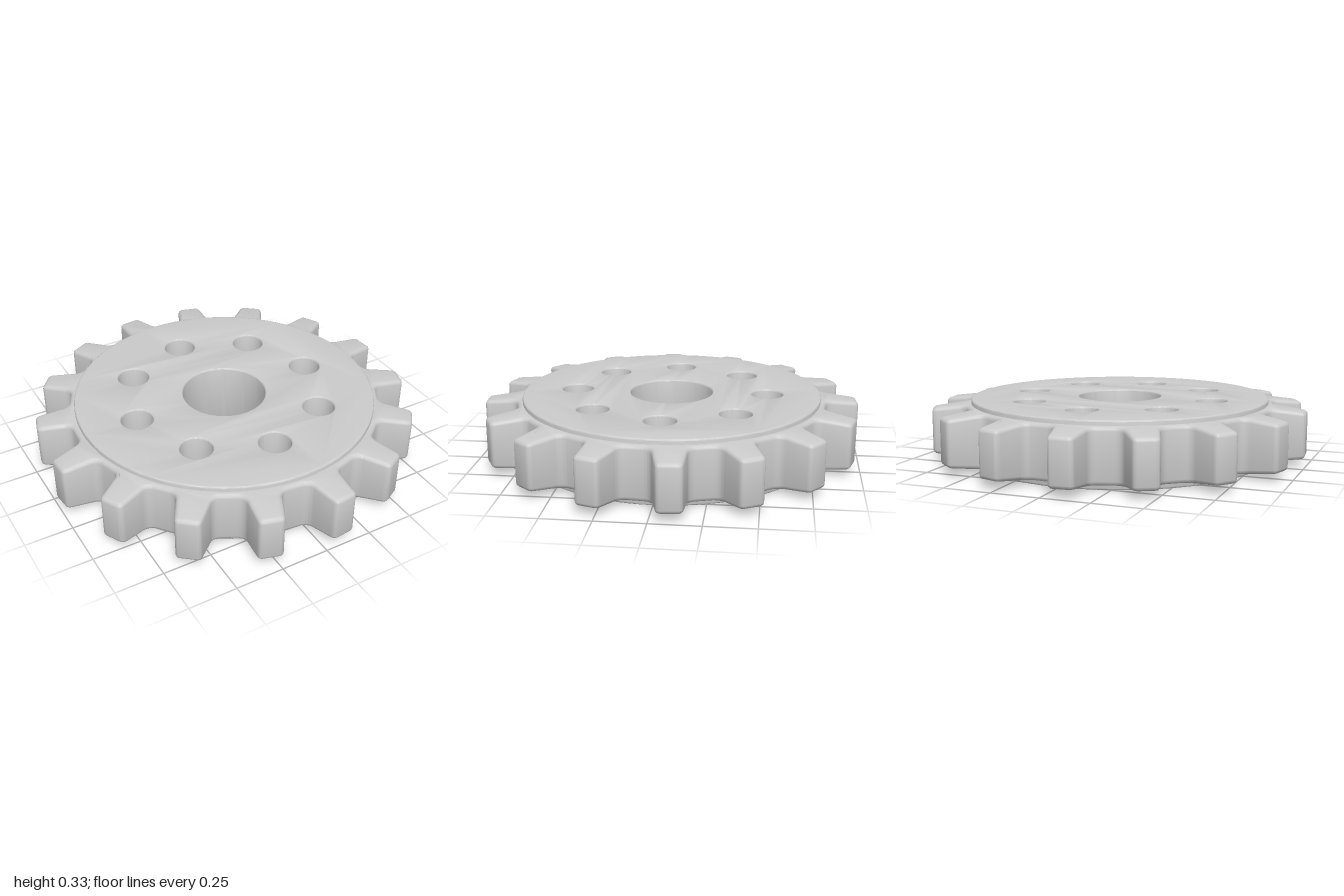
import * as THREE from 'three';
import { toCreasedNormals } from 'three/addons/utils/BufferGeometryUtils.js';

const TEETH = 16, PHASE = 0.1, MID = 0.165;
const material = new THREE.MeshStandardMaterial({ color: 0xcccccc });

function circleHole(x, y, r) {
  return new THREE.Path().absarc(x, y, r, 0, Math.PI * 2, true);
}

// Extrude a flat shape upwards, centred on MID, with rounded edges inside its outline
function slab(shape, height, bevel, curveSegments) {
  const g = new THREE.ExtrudeGeometry(shape, {
    depth: height - 2 * bevel, bevelThickness: bevel, bevelSize: bevel,
    bevelOffset: -bevel, bevelSegments: 3, curveSegments,
  });
  g.translate(0, 0, bevel - height / 2);
  g.rotateX(-Math.PI / 2);
  return g;
}

function addPart(group, name, geometry) {
  geometry.translate(0, MID, 0);
  const mesh = new THREE.Mesh(toCreasedNormals(geometry, 0.6), material);
  mesh.name = name;
  group.add(mesh);
}

// Outline of the toothed ring: tapered teeth with root fillets and rounded tips
function toothedShape() {
  const shape = new THREE.Shape();
  for (let i = 0; i < TEETH; i++) {
    const a = PHASE + (i * Math.PI * 2) / TEETH;
    const c = Math.cos(a), s = Math.sin(a);
    const at = (r, t) => [r * c - t * s, r * s + t * c];
    const start = at(0.815, -0.12);
    if (i === 0) shape.moveTo(...start);
    else shape.lineTo(...start);
    shape.quadraticCurveTo(...at(0.825, -0.087), ...at(0.86, -0.082));
    shape.lineTo(...at(0.972, -0.066));
    shape.quadraticCurveTo(...at(0.998, -0.062), ...at(0.999, -0.04));
    shape.lineTo(...at(0.999, 0.04));
    shape.quadraticCurveTo(...at(0.998, 0.062), ...at(0.972, 0.066));
    shape.lineTo(...at(0.86, 0.082));
    shape.quadraticCurveTo(...at(0.825, 0.087), ...at(0.815, 0.12));
  }
  shape.closePath();
  shape.holes.push(circleHole(0, 0, 0.74));
  return shape;
}

export function createModel() {
  const group = new THREE.Group();
  group.name = 'sprocketWheel';

  // Hub disc with a centre bore and a ring of eight bolt holes
  const disc = new THREE.Shape().absarc(0, 0, 0.795, 0, Math.PI * 2, false);
  disc.holes.push(circleHole(0, 0, 0.22));
  for (let i = 0; i < 8; i++) {
    const a = (i * Math.PI) / 4;
    disc.holes.push(circleHole(0.512 * Math.cos(a), 0.512 * Math.sin(a), 0.083));
  }
  addPart(group, 'hubDisc', slab(disc, 0.33, 0.008, 48));

  // Toothed ring, thinning towards the tooth tips
  const ring = slab(toothedShape(), 0.28, 0.022, 8);
  const p = ring.attributes.position;
  for (let i = 0; i < p.count; i++) {
    const r = Math.hypot(p.getX(i), p.getZ(i));
    const k = Math.max(0, (r - 0.83) / 0.17);
    p.setY(i, p.getY(i) * (1 - 0.14 * k));
  }
  addPart(group, 'toothedRing', ring);

  return group;
}
